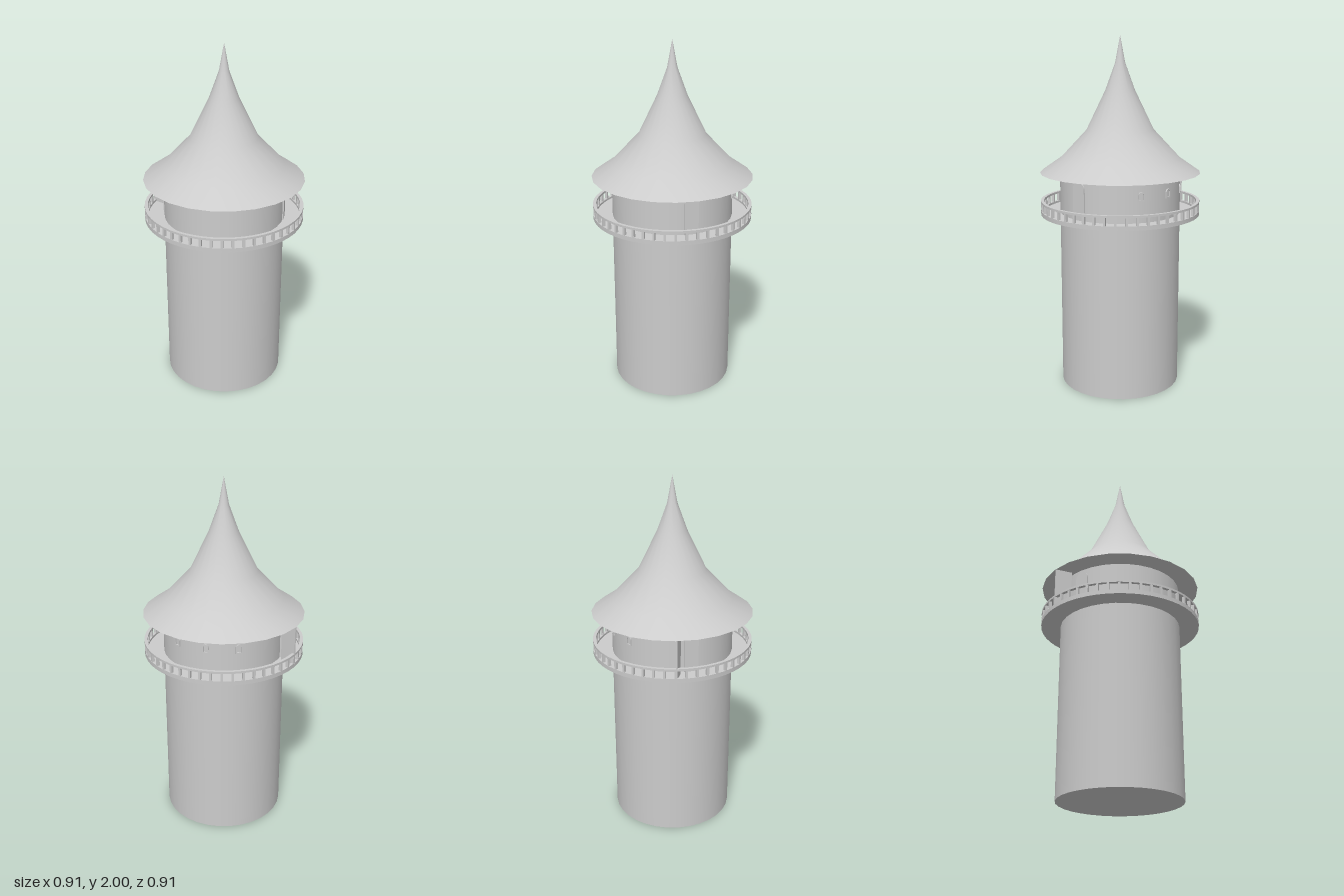
import * as THREE from 'three';
import { toCreasedNormals } from 'three/addons/utils/BufferGeometryUtils.js';

const material = new THREE.MeshStandardMaterial({ color: 0xcccccc });
const FLOOR = 1.0, WALL_TOP = 1.24, R = 0.342;

function add(parent, name, geometry) {
  const mesh = new THREE.Mesh(geometry, material);
  mesh.name = name;
  parent.add(mesh);
  return mesh;
}

function lathe(points, sides) {
  const profile = points.map(([r, y]) => new THREE.Vector2(r, y));
  return toCreasedNormals(new THREE.LatheGeometry(profile, sides), 0.5);
}

// Solid ring with a rectangular section
const ring = (rIn, rOut, y0, y1, sides) =>
  lathe([[rIn, y0], [rOut, y0], [rOut, y1], [rIn, y1], [rIn, y0]], sides);

// Round-headed outline, standing on y = y0
function arch(width, y0, y1, Type = THREE.Shape) {
  const r = width / 2, s = new Type();
  s.moveTo(-r, y0);
  s.lineTo(r, y0);
  s.lineTo(r, y1 - r);
  s.absarc(0, y1 - r, r, 0, Math.PI, false);
  s.lineTo(-r, y0);
  return s;
}

const extrude = (shape, depth) =>
  new THREE.ExtrudeGeometry(shape, { depth, bevelEnabled: false, curveSegments: 10 });

// Group turned to face outward; angle runs from +x towards -z
function facing(parent, name, degrees) {
  const g = new THREE.Group();
  g.name = name;
  g.rotation.y = THREE.MathUtils.degToRad(degrees + 90);
  parent.add(g);
  return g;
}

export function createModel() {
  const tower = new THREE.Group();
  tower.name = 'tower';

  // Round shaft, up to the eaves
  add(tower, 'shaft', new THREE.CylinderGeometry(R, R, WALL_TOP, 32)).position.y = WALL_TOP / 2;

  // Flared, pointed roof with a flat underside
  add(tower, 'roof', lathe([
    [0, WALL_TOP], [0.455, WALL_TOP], [0.34, 1.32], [0.19, 1.48],
    [0.083, 1.7], [0.028, 1.85], [0, 2],
  ], 24));

  // Balcony floor and railing
  const balcony = new THREE.Group();
  balcony.name = 'balcony';
  tower.add(balcony);
  add(balcony, 'balconyFloor', ring(R - 0.02, 0.45, FLOOR, FLOOR + 0.012, 48));
  add(balcony, 'lowerRail', ring(0.435, 0.453, FLOOR, FLOOR + 0.024, 48));
  add(balcony, 'upperRail', ring(0.435, 0.453, FLOOR + 0.068, FLOOR + 0.08, 48));
  const posts = 48;
  for (let i = 0; i < posts; i++) {
    const a = (i / posts) * Math.PI * 2;
    const post = add(balcony, 'railPost', new THREE.BoxGeometry(0.013, 0.05, 0.016));
    post.position.set(Math.sin(a) * 0.444, FLOOR + 0.046, Math.cos(a) * 0.444);
    post.rotation.y = a;
  }

  // Arched doors on both sides
  for (const degrees of [0, 180]) {
    const g = facing(tower, 'doorway', degrees);
    add(g, 'door', extrude(arch(0.08, FLOOR, 1.225), 0.02)).position.z = R - 0.016;
  }

  // Door leaf standing open over the balcony
  const leaf = add(tower, 'openDoorLeaf', new THREE.BoxGeometry(0.095, 0.23, 0.008));
  leaf.position.set(-0.396, FLOOR + 0.125, -0.09);
  leaf.rotation.y = -0.5;

  // Small round-headed windows around the back
  for (const degrees of [60, 90, 120]) {
    const g = facing(tower, 'window', degrees);
    const frame = arch(0.034, 1.13, 1.182);
    frame.holes.push(arch(0.024, 1.137, 1.177, THREE.Path));
    add(g, 'windowFrame', extrude(frame, 0.016)).position.z = R - 0.01;
  }

  return tower;
}
